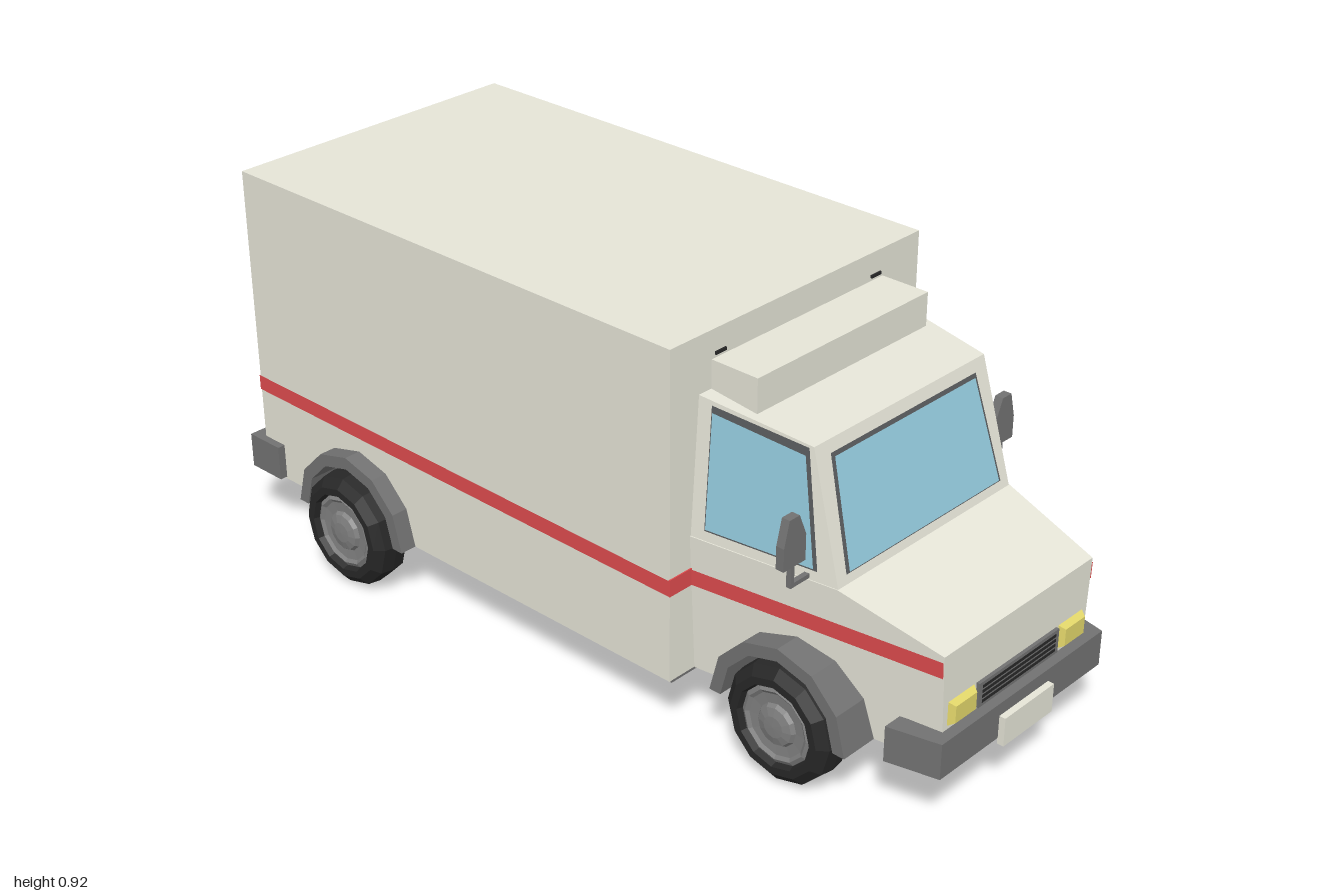
import * as THREE from 'three';

const mat = (name, color, side = THREE.FrontSide) =>
  Object.assign(new THREE.MeshStandardMaterial({ color, side }), { name });

export function createModel() {
  const M = {
    body: mat('cream paint', 0xe6e5d8),
    trim: mat('grey trim', 0x727272),
    rim: mat('wheel grey', 0x808080),
    tyre: mat('tyre black', 0x282828),
    glass: mat('window glass', 0x94cbde, THREE.DoubleSide),
    red: mat('stripe red', 0xdf4c4e, THREE.DoubleSide),
    lamp: mat('headlight yellow', 0xe2d66a),
    seal: mat('window seal', 0x5a5c5e, THREE.DoubleSide),
  };
  const root = new THREE.Group();
  root.name = 'boxTruck';
  const add = (name, geo, material, parent = root) => {
    const mesh = new THREE.Mesh(geo, material);
    mesh.name = name;
    parent.add(mesh);
    return mesh;
  };
  const shapeOf = pts => new THREE.Shape(pts.map(p => new THREE.Vector2(p[0], p[1])));
  const flat = g => {
    const f = g.index ? g.toNonIndexed() : g;
    f.computeVertexNormals();
    return f;
  };
  const box = (name, w, h, d, x, y, z, material, parent) =>
    add(name, new THREE.BoxGeometry(w, h, d).translate(x, y, z), material, parent);

  // Box whose outward face (z direction dir) is inset
  const bevelBox = (w, h, d, inset, dir) => {
    const g = new THREE.BoxGeometry(w, h, d), p = g.attributes.position;
    for (let i = 0; i < p.count; i++) {
      if (p.getZ(i) * dir > 0) {
        p.setX(i, p.getX(i) - Math.sign(p.getX(i)) * inset);
        p.setY(i, p.getY(i) - Math.sign(p.getY(i)) * inset);
      }
    }
    return flat(g);
  };
  // Side profile of [z, y] points stretched to half-width width(z, y)
  const slab = (pts, width) => {
    const g = new THREE.ExtrudeGeometry(shapeOf(pts), { depth: 2, bevelEnabled: false });
    g.translate(0, 0, -1).rotateY(-Math.PI / 2);
    const p = g.attributes.position;
    for (let i = 0; i < p.count; i++) p.setX(i, Math.sign(p.getX(i)) * width(p.getZ(i), p.getY(i)));
    return flat(g);
  };
  // Thin face of [z, y] points lying on both sides of a slab
  const sidePanels = (name, pts, width, off, material) => {
    for (const s of [1, -1]) {
      const g = new THREE.ShapeGeometry(shapeOf(pts.map(([z, y]) => [-s * z, y])));
      g.rotateY(s * Math.PI / 2);
      const p = g.attributes.position;
      for (let i = 0; i < p.count; i++) p.setX(i, s * (width(p.getZ(i), p.getY(i)) + off));
      add(name, flat(g), material);
    }
  };
  // Plan outline of [x, z] points raised from y0 to y1
  const planBlock = (pts, y0, y1) =>
    new THREE.ExtrudeGeometry(shapeOf(pts.map(([x, z]) => [x, -z])), { depth: y1 - y0, bevelEnabled: false })
      .rotateX(-Math.PI / 2).translate(0, y0, 0);

  const BASE = 0.147, FRONT = 0.626, REAR = -0.604;
  const arc = (zc, r) => Array.from({ length: 7 }, (_, i) => {
    const a = i * Math.PI / 6;
    return [zc + r * Math.cos(a), BASE + r * Math.sin(a)];
  });

  // Cargo box
  const boxW = () => 0.391;
  add('cargoBox', slab([[0.37, BASE], [0.37, 0.92], [-0.954, 0.92], [-0.954, BASE],
    ...arc(REAR, 0.165).reverse()], boxW), M.body);
  box('rearDoor', 0.56, 0.61, 0.004, 0, 0.55, -0.954, M.body);

  // Cab: lower body with wheel arch, then greenhouse
  const lowW = (z, y) => 0.328 - 0.132 * (z - 0.37) + 0.05 * (y - 0.41);
  const topW = (z, y) => 0.3285 - 0.13 * (z - 0.37) - 0.07 * (y - 0.475);
  add('cabBody', slab([[0.96, BASE], [0.96, 0.41], [0.72, 0.475], [0.369, 0.475], [0.369, BASE],
    ...arc(FRONT, 0.165).reverse()], lowW), M.body);
  add('cabTop', slab([[0.72, 0.475], [0.64, 0.76], [0.369, 0.79], [0.369, 0.475]], topW), M.body);
  box('roofDeflector', 0.54, 0.1, 0.125, 0, 0.805, 0.4285, M.body);

  // Windows with dark seals
  const windscreen = (name, pts, off, material) => {
    const g = new THREE.ShapeGeometry(shapeOf(pts)), p = g.attributes.position;
    for (let i = 0; i < p.count; i++) p.setZ(i, 0.72 - (p.getY(i) - 0.475) * 0.281 + off);
    add(name, flat(g), material);
  };
  windscreen('windscreenSeal', [[-0.255, 0.496], [0.255, 0.496], [0.234, 0.735], [-0.234, 0.735]], 0.003, M.seal);
  windscreen('windscreen', [[-0.247, 0.5], [0.247, 0.5], [0.227, 0.727], [-0.227, 0.727]], 0.006, M.glass);
  sidePanels('sideWindowSeal', [[0.672, 0.499], [0.632, 0.757], [0.404, 0.778], [0.404, 0.499]], topW, 0.003, M.seal);
  sidePanels('sideWindow', [[0.664, 0.504], [0.627, 0.74], [0.408, 0.764], [0.408, 0.504]], topW, 0.006, M.glass);

  // Red stripe along cab, box front and box sides
  sidePanels('cabStripe', [[0.372, 0.358], [0.96, 0.36], [0.96, 0.398], [0.372, 0.396]], lowW, 0.003, M.red);
  sidePanels('boxStripe', [[-0.954, 0.366], [0.372, 0.358], [0.372, 0.396], [-0.954, 0.403]], boxW, 0.003, M.red);
  for (const s of [1, -1]) box('boxFrontStripe', 0.074, 0.04, 0.004, s * 0.357, 0.378, 0.371, M.red);

  // Underside plates
  for (const [w, z0, z1] of [[0.77, -0.43, 0.37], [0.6, 0.37, 0.455], [0.47, 0.795, 0.955]])
    box('floorPlate', w, 0.006, z1 - z0, 0, BASE - 0.002, (z0 + z1) / 2, M.trim);

  // Wheel arches run across the truck as liners and flare past the sides
  for (const [zc, half] of [[FRONT, 0.352], [REAR, 0.433]])
    add('wheelArch', slab([...arc(zc, 0.18), ...arc(zc, 0.15).reverse()], () => half), M.trim);

  // Wheels
  const lathe = pts => flat(new THREE.LatheGeometry(pts.map(p => new THREE.Vector2(...p)), 12).rotateZ(-Math.PI / 2));
  const tyreGeo = lathe([[0, -0.05], [0.115, -0.05], [0.136, -0.032], [0.14, 0], [0.136, 0.032],
    [0.115, 0.05], [0.097, 0.05], [0.09, 0.03]]);
  const rimGeo = lathe([[0.095, 0.034], [0.082, 0.042], [0.074, 0.036], [0.05, 0.034], [0.044, 0.043], [0.025, 0.048], [0, 0.049]]);
  for (const [zc, x] of [[FRONT, 0.311], [REAR, 0.412]]) {
    for (const s of [1, -1]) {
      const wheel = new THREE.Group();
      wheel.name = zc > 0 ? 'frontWheel' : 'rearWheel';
      wheel.position.set(s * x, 0.14, zc);
      if (s < 0) wheel.rotation.y = Math.PI;
      add('tyre', tyreGeo, M.tyre, wheel);
      add('rim', rimGeo, M.rim, wheel);
      root.add(wheel);
    }
  }

  // Bumpers wrap round the corners
  add('frontBumper', planBlock([[-0.275, 0.985], [0.275, 0.985], [0.302, 0.865], [0.255, 0.865], [0.235, 0.955],
    [-0.235, 0.955], [-0.255, 0.865], [-0.302, 0.865]], 0.146, 0.23), M.trim);
  add('rearBumper', planBlock([[-0.41, -0.988], [0.41, -0.988], [0.41, -0.885], [0.385, -0.885], [0.385, -0.945],
    [-0.385, -0.945], [-0.385, -0.885], [-0.41, -0.885]], 0.152, 0.238), M.trim);
  box('frontPlate', 0.168, 0.068, 0.016, 0, 0.166, 0.992, M.body);
  box('rearPlate', 0.168, 0.068, 0.013, 0, 0.166, -0.9935, M.body);

  // Grille with dark slots
  box('grille', 0.272, 0.058, 0.012, 0, 0.266, 0.962, M.trim);
  for (let i = 0; i < 4; i++) box('grilleSlot', 0.25, 0.007, 0.004, 0, 0.2485 + i * 0.0117, 0.967, M.tyre);

  for (const s of [1, -1]) {
    // Lamps
    add('headlight', bevelBox(0.086, 0.058, 0.016, 0.009, 1).translate(s * 0.186, 0.267, 0.966), M.lamp);
    add('tailLight', bevelBox(0.085, 0.06, 0.016, 0.008, -1).translate(s * 0.325, 0.302, -0.959), M.red);
    box('reverseLamp', 0.045, 0.024, 0.012, s * 0.325, 0.362, -0.955, M.body);
    box('markerLamp', 0.032, 0.007, 0.006, s * 0.245, 0.866, 0.371, M.tyre);

    // Mirror on a bent arm
    const mirror = new THREE.Group();
    mirror.name = 'wingMirror';
    const head = [[0.31, 0.53], [0.376, 0.53], [0.376, 0.582], [0.361, 0.64], [0.331, 0.64], [0.31, 0.59]];
    add('mirrorHead', new THREE.ExtrudeGeometry(shapeOf(head), { depth: 0.02, bevelEnabled: false })
      .translate(0, 0, 0.637), M.trim, mirror);
    add('mirrorGlass', new THREE.ShapeGeometry(shapeOf(head)).translate(-0.343, -0.583, 0)
      .scale(0.88, 0.88, 1).translate(0.343, 0.583, 0.635), M.glass, mirror);
    box('mirrorArm', 0.07, 0.01, 0.012, 0.313, 0.483, 0.647, M.trim, mirror);
    box('mirrorPost', 0.01, 0.054, 0.012, 0.343, 0.505, 0.647, M.trim, mirror);
    mirror.scale.x = s;
    root.add(mirror);
  }
  return root;
}
